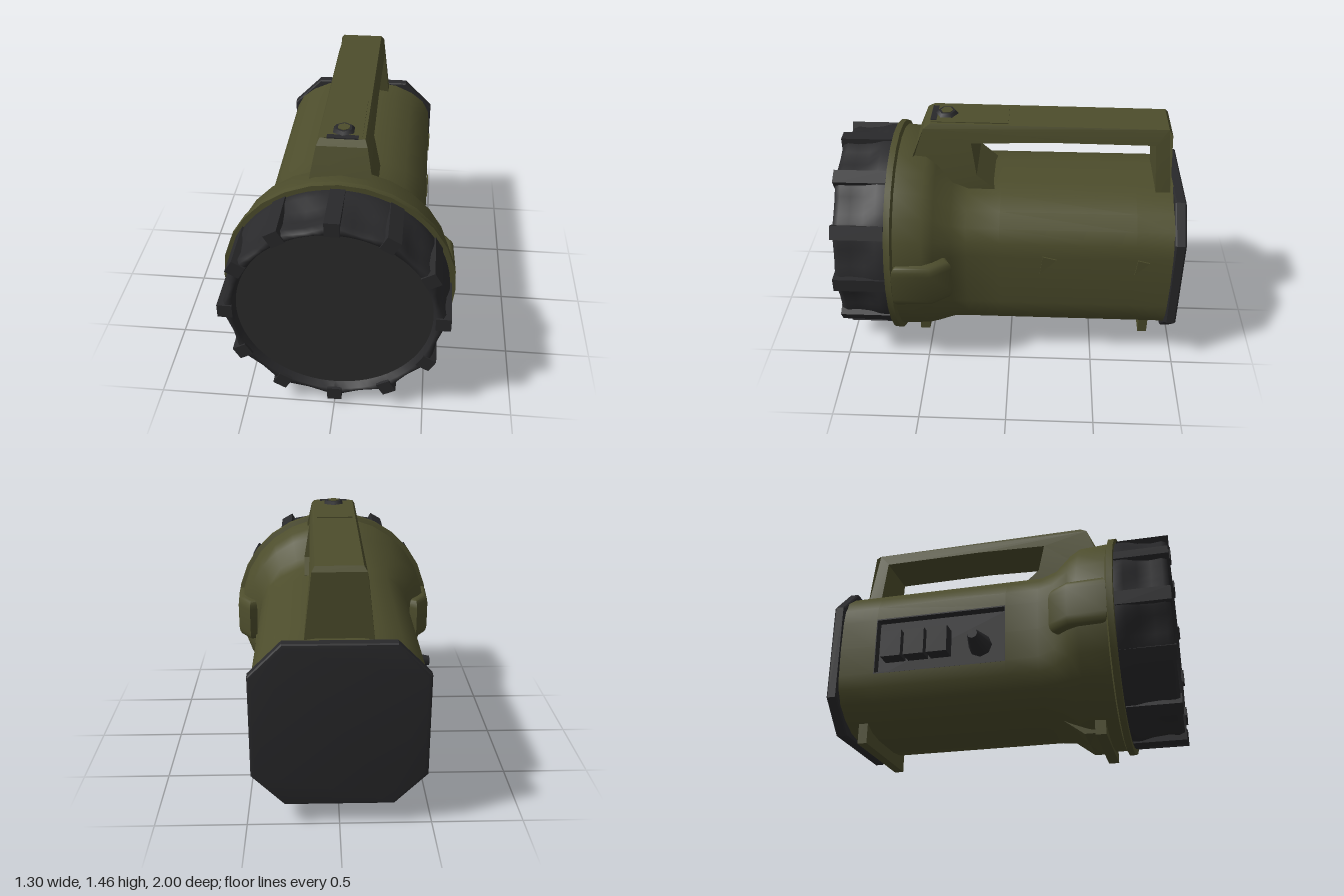
import * as THREE from 'three';
import { toCreasedNormals } from 'three/addons/utils/BufferGeometryUtils.js';

const mat = (name, color) => {
  const m = new THREE.MeshStandardMaterial({ color });
  m.name = name;
  return m;
};

// Rounded-square quarter section (half sizes), from the side to the top
const QUARTER = [[0.467, 0], [0.465, 0.17], [0.455, 0.255], [0.415, 0.33], [0.335, 0.395], [0.23, 0.443], [0.12, 0.458]];
const N = 28;

// Point i of the housing section: t = 0 rounded square, t = 1 circle of radius r
function sectionPoint(i, t, r) {
  const q = Math.floor(i / 7), k = i % 7;
  let x, y;
  if (q % 2 === 0) [x, y] = QUARTER[k];
  else [x, y] = k === 0 ? [0, 0.458] : QUARTER[7 - k];
  if (q === 1 || q === 2) x = -x;
  if (q >= 2) y = -y;
  const a = (i / N) * Math.PI * 2;
  return [
    THREE.MathUtils.lerp(x, r * Math.cos(a), t),
    THREE.MathUtils.lerp(y + 0.598, r * Math.sin(a) + 0.652, t),
  ];
}

// Housing skin with an opening for the control panel on the right side
function housingGeometry() {
  const stations = [ // z, blend, radius
    [-0.96, 0, 0.6], [-0.72, 0, 0.6], [0.06, 0, 0.6], [0.25, 0, 0.6], [0.34, 0.24, 0.59], [0.43, 0.8, 0.605],
    [0.49, 1, 0.612], [0.65, 1, 0.622], [0.66, 1, 0.648], [0.695, 1, 0.648], [0.7, 1, 0.5],
  ];
  const pos = [], index = [];
  stations.forEach(([z, t, r]) => {
    for (let i = 0; i < N; i++) pos.push(...sectionPoint(i, t, r), z);
  });
  for (let s = 0; s < stations.length - 1; s++) {
    for (let i = 0; i < N; i++) {
      if (s === 1 && (i === 13 || i === 14)) continue;
      const j = (i + 1) % N, a = s * N + i, b = s * N + j;
      index.push(a, b, b + N, a, b + N, a + N);
    }
  }
  const g = new THREE.BufferGeometry();
  g.setAttribute('position', new THREE.Float32BufferAttribute(pos, 3));
  g.setIndex(index);
  return toCreasedNormals(g, 0.65);
}

const polygon = (pts) => new THREE.Shape(pts.map(([x, y]) => new THREE.Vector2(x, y)));

// Carrying handle: side profile (z, y), narrower towards the top
function handleGeometry() {
  const g = new THREE.ExtrudeGeometry(polygon([
    [0.64, 1.0], [0.56, 1.26], [0.5, 1.41], [0.46, 1.437], [-0.88, 1.427], [-0.9, 1.4], [-0.92, 1.0],
    [-0.835, 1.0], [-0.81, 1.34], [-0.2, 1.345], [0.23, 1.33], [0.2, 1.14], [0.1, 1.05], [0.1, 1.0],
  ]), { depth: 2, bevelEnabled: false });
  g.translate(0, 0, -1).rotateY(-Math.PI / 2);
  const p = g.attributes.position;
  for (let i = 0; i < p.count; i++) {
    const y = p.getY(i);
    const w = y > 1.42 ? 0.122 : Math.min(0.185, 0.165 - (y - 1.27) * 0.2);
    p.setX(i, p.getX(i) * w);
  }
  return toCreasedNormals(g, 0.3);
}

export function createModel() {
  const root = new THREE.Group();
  const olive = mat('olive housing', 0x4d4d2c);
  const rubber = mat('black rubber', 0x29292b);
  const glass = mat('dark lens', 0x2c2c2c);
  rubber.side = THREE.DoubleSide;

  const add = (name, geo, material, x = 0, y = 0, z = 0) => {
    const m = new THREE.Mesh(geo, material);
    m.name = name;
    m.position.set(x, y, z);
    root.add(m);
    return m;
  };
  const box = (name, material, w, h, d, x, y, z) => add(name, new THREE.BoxGeometry(w, h, d), material, x, y, z);

  add('housing', housingGeometry(), olive);
  add('handle', handleGeometry(), olive);

  // Rear cap: chamfered square with a softened edge
  const w = 0.45, h = 0.445, c = 0.165;
  const cap = new THREE.ExtrudeGeometry(polygon([
    [w, -h + c], [w, h - c], [w - c, h], [-w + c, h], [-w, h - c], [-w, -h + c], [-w + c, -h], [w - c, -h],
  ]), { depth: 0.046, bevelThickness: 0.012, bevelSize: 0.022, bevelSegments: 2 });
  add('rearCap', toCreasedNormals(cap, 0.5), rubber, 0, 0.59, -0.988);

  // Front bezel: lathe scalloped between twelve lugs
  const profile = [[0.615, 0.695], [0.615, 0.75], [0.59, 0.82], [0.582, 0.9], [0.588, 0.96], [0.575, 0.99], [0.545, 0.99], [0.525, 0.94]];
  const bezel = new THREE.LatheGeometry(profile.map(([r, z]) => new THREE.Vector2(r, z)), 72);
  bezel.rotateX(Math.PI / 2);
  const bp = bezel.attributes.position;
  for (let i = 0; i < bp.count; i++) {
    const x = bp.getX(i), y = bp.getY(i), z = bp.getZ(i);
    if (z < 0.78 || Math.hypot(x, y) < 0.56) continue;
    const k = 1 + 0.02 * Math.cos(12 * Math.atan2(y, x));
    bp.setXY(i, x * k, y * k);
  }
  bezel.computeVertexNormals();
  add('bezel', bezel, rubber, 0, 0.655, 0);
  for (let i = 0; i < 12; i++) {
    const a = (i / 12) * Math.PI * 2;
    const lug = box('bezelLug', rubber, 0.082, 0.08, 0.3, Math.cos(a) * 0.582, 0.655 + Math.sin(a) * 0.582, 0.849);
    lug.rotation.z = a;
  }
  add('lens', new THREE.CircleGeometry(0.535, 36), glass, 0, 0.655, 0.95);

  // Softened side lobes where the housing meets the collar
  for (const s of [-1, 1]) {
    const pts = [[0.4, 0.63], [0.612, 0.63], [0.602, 0.45], [0.54, 0.365], [0.4, 0.44]].map(([x, z]) => [x * s, -z]);
    const lobe = new THREE.ExtrudeGeometry(polygon(pts), { depth: 0.16, bevelThickness: 0.055, bevelSize: 0.03, bevelSegments: 3 });
    lobe.rotateX(-Math.PI / 2);
    add('sideLobe', toCreasedNormals(lobe, 0.8), olive, 0, 0.577, 0);
  }

  // Feet, the front one with a sloping brace behind it
  box('frontFoot', olive, 0.55, 0.2, 0.06, 0, 0.12, 0.55);
  box('rearFoot', olive, 0.6, 0.2, 0.055, 0, 0.168, -0.83);
  const brace = new THREE.ExtrudeGeometry(polygon([[0.33, 0.145], [0.45, 0.055], [0.54, 0.055], [0.54, 0.2], [0.33, 0.2]]),
    { depth: 0.4, bevelEnabled: false });
  brace.translate(0, 0, -0.2).rotateY(-Math.PI / 2);
  add('footBrace', brace, olive);

  // Top switch on the handle
  box('switchPlate', olive, 0.21, 0.009, 0.44, 0, 1.436, 0.24);
  box('switchSlot', rubber, 0.17, 0.008, 0.035, 0, 1.438, 0.445);
  add('switchButton', new THREE.CylinderGeometry(0.05, 0.072, 0.026, 6), rubber, 0, 1.446, 0.375);
  add('switchInset', new THREE.CylinderGeometry(0.036, 0.036, 0.006, 6), olive, 0, 1.459, 0.375);

  // Recessed control panel on the right side
  const zc = -0.33, yc = 0.598, len = 0.78, tall = 0.34, depth = 0.06, px = -0.435;
  box('panelBack', rubber, 0.008, tall, len, -0.405, yc, zc);
  for (const s of [-1, 1]) {
    box('panelWall', rubber, depth, 0.008, len, px, yc + s * tall / 2, zc);
    box('panelEnd', rubber, depth, tall, 0.008, px, yc, zc + s * len / 2);
  }
  for (let i = 0; i < 3; i++) box('panelButton', rubber, 0.095, 0.16, 0.12, -0.455, 0.59, -0.61 + i * 0.138);
  const knob = add('panelKnob', new THREE.CylinderGeometry(0.03, 0.07, 0.17, 8), rubber, -0.493, 0.56, -0.1);
  knob.rotation.z = Math.PI / 2;

  // Small wedge catches on the left side
  for (const [z, s] of [[-0.22, 1], [-0.76, 0.85]]) {
    const wedge = new THREE.ExtrudeGeometry(polygon([[0.03 * s, 0.07 * s], [-0.05 * s, 0.05 * s], [0.045 * s, -0.055 * s]]),
      { depth: 0.008, bevelEnabled: false });
    wedge.rotateY(-Math.PI / 2);
    add('sideCatch', wedge, olive, 0.474, 0.71, z);
  }
  return root;
}
